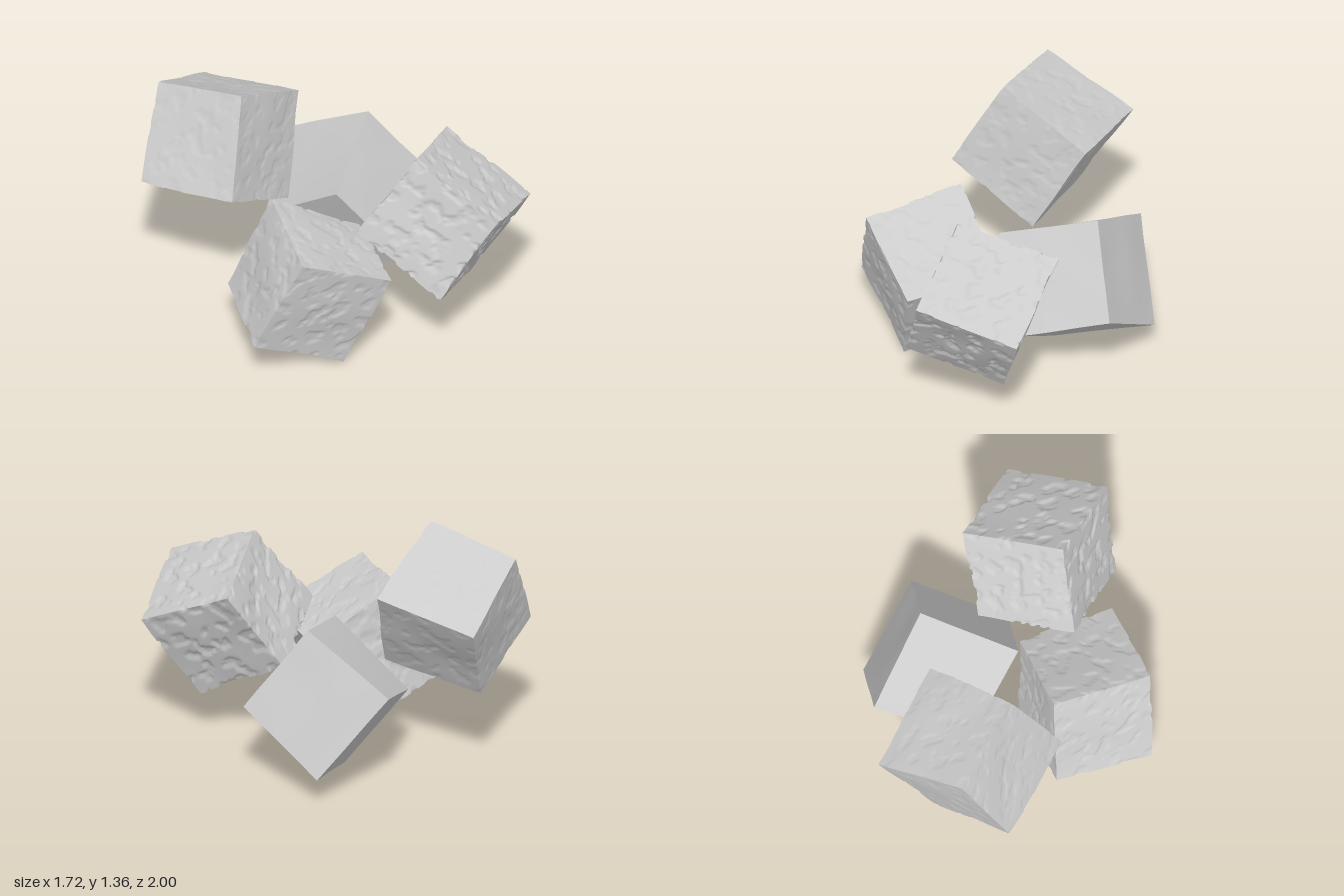
import * as THREE from 'three';

// Each block: eight corners in the order x, then y, then z (left/right, bottom/top, back/front),
// and how heavily its skin is chipped.
const BLOCKS = [
  { name: 'frontRightBlock', seed: 1.3, chips: 0.011, wave: 0.011, corners: [
    [-.11, .73, .38], [.33, .56, .05], [.18, 1.18, .52], [.63, 1.03, .17],
    [.13, .45, .84], [.56, .28, .50], [.40, .93, .99], [.86, .77, .65]] },
  { name: 'frontLeftBlock', seed: 4.1, chips: 0.007, wave: 0.012, corners: [
    [-.63, .30, -.13], [-.13, .08, -.02], [-.42, .85, .015], [.07, .58, .14],
    [-.80, .25, .40], [-.29, .01, .52], [-.585, .79, .555], [-.07, .56, .67]] },
  { name: 'backLeftBlock', seed: 7.7, chips: 0.004, wave: 0.012, corners: [
    [-.86, .785, -.62], [-.39, .525, -.79], [-.64, 1.28, -.78], [-.18, 1.025, -1],
    [-.62, .86, -.085], [-.13, .60, -.26], [-.42, 1.375, -.29], [.075, 1.12, -.465]] },
  { name: 'backRightBlock', seed: 10.2, chips: 0, wave: 0.007, corners: [
    [.12, .02, -.22], [.56, .19, -.56], [-.19, .45, -.39], [.21, .66, -.75],
    [.29, .32, .23], [.73, .51, -.11], [-.03, .77, .06], [.415, .955, -.28]] },
];

// Smooth lumpy field, about -1..1
function lumps(p, f, s) {
  return (Math.sin(p.x * f + s + 1.7 * Math.sin(p.y * f * 0.7 + s))
    + Math.sin(p.y * f * 1.1 + 2 * s + 1.7 * Math.sin(p.z * f * 0.8 + s))
    + Math.sin(p.z * f * 0.9 + 3 * s + 1.7 * Math.sin(p.x * f * 0.75 + s))) / 3;
}

// Blend the eight corners at box coordinates 0..1
function blend(corners, x, y, z) {
  const p = new THREE.Vector3();
  corners.forEach((c, i) => {
    const w = (i & 1 ? x : 1 - x) * (i & 2 ? y : 1 - y) * (i & 4 ? z : 1 - z);
    p.addScaledVector(new THREE.Vector3(...c), w);
  });
  return p;
}

function blockGeometry({ corners, seed, chips, wave }) {
  const n = chips ? 44 : 24;
  const geo = new THREE.BoxGeometry(1, 1, 1, n, n, n);
  const pos = geo.attributes.position;
  const centre = blend(corners, 0.5, 0.5, 0.5);
  for (let i = 0; i < pos.count; i++) {
    const p = blend(corners, pos.getX(i) + 0.5, pos.getY(i) + 0.5, pos.getZ(i) + 0.5);
    const out = p.clone().sub(centre).normalize();
    // broad dents and bulges, then shallow flaked patches
    let d = wave * lumps(p, 9, seed);
    if (chips) {
      const flake = lumps(p, 42, seed) + 0.4 * lumps(p, 95, seed + 2);
      d -= chips * THREE.MathUtils.smoothstep(flake, 0.25, 0.4);
    }
    p.addScaledVector(out, d);
    pos.setXYZ(i, p.x, Math.max(0, p.y), p.z);
  }
  geo.computeVertexNormals();
  return geo;
}

export function createModel() {
  const group = new THREE.Group();
  group.name = 'roughBlocks';
  const material = new THREE.MeshStandardMaterial({ color: 0xcccccc });
  for (const block of BLOCKS) {
    const mesh = new THREE.Mesh(blockGeometry(block), material);
    mesh.name = block.name;
    group.add(mesh);
  }
  return group;
}
